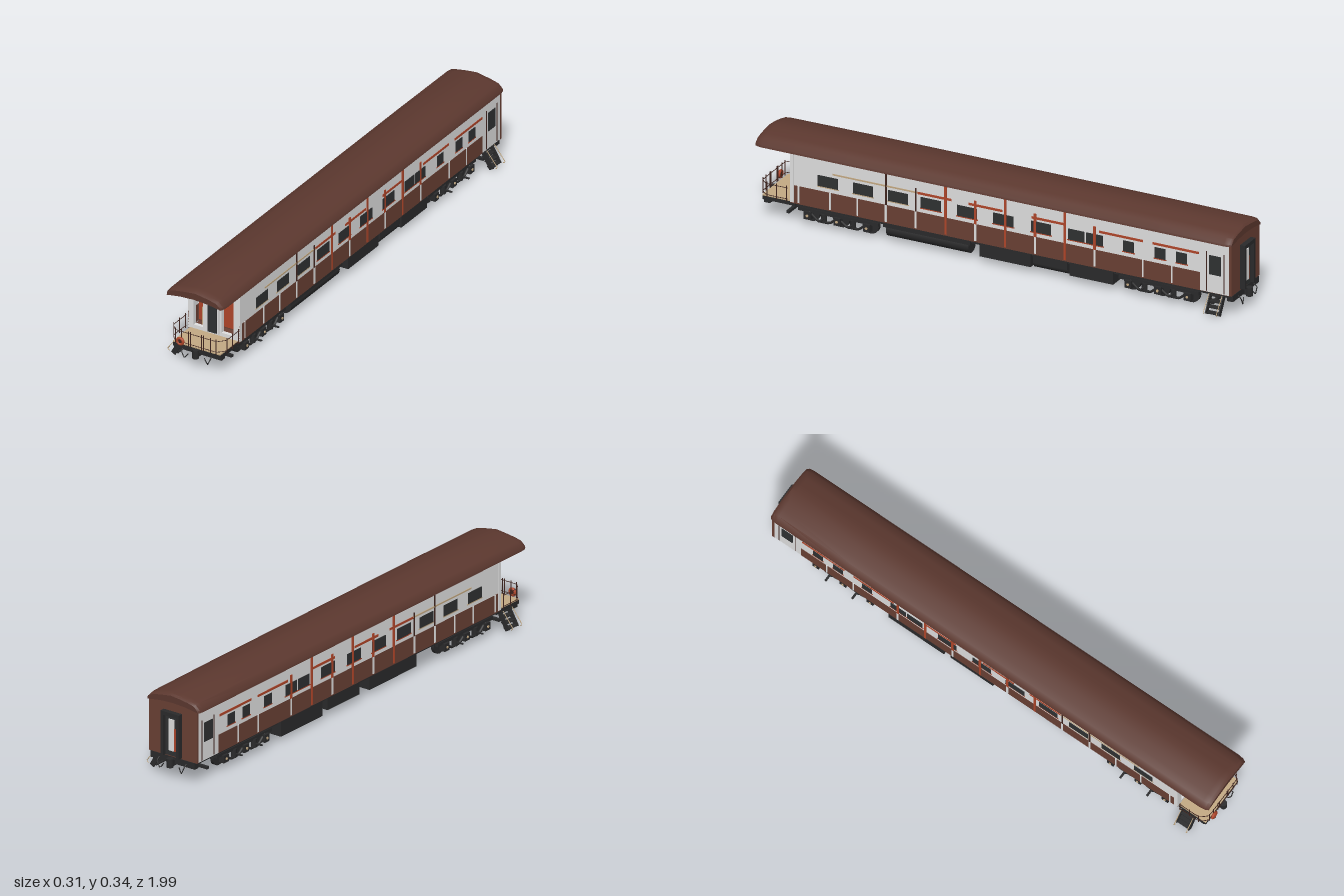
import * as THREE from 'three';
import { toCreasedNormals } from 'three/addons/utils/BufferGeometryUtils.js';

const mat = (name, color, side = THREE.FrontSide) => {
  const m = new THREE.MeshStandardMaterial({ color, side });
  m.name = name;
  return m;
};

export function createModel() {
  const root = new THREE.Group();
  root.name = 'railCarriage';
  const roofBrown = mat('roofBrown', 0x5c382f, THREE.DoubleSide);
  const sideBrown = mat('sideBrown', 0x6a4034);
  const white = mat('paleGrey', 0xe0e0e0, THREE.DoubleSide);
  const black = mat('ironBlack', 0x2a2a2b);
  const glass = mat('darkGlass', 0x2f3132);
  const red = mat('rustRed', 0xb0462a);
  const railBrown = mat('railBrown', 0x40251f);
  const tan = mat('tan', 0xc4aa84);

  const add = (name, geo, m, x = 0, y = 0, z = 0, parent = root) => {
    const mesh = new THREE.Mesh(geo, m);
    mesh.name = name;
    mesh.position.set(x, y, z);
    parent.add(mesh);
    return mesh;
  };
  // Box given by its lower and upper limits
  const box = (name, m, x0, x1, y0, y1, z0, z1, parent = root) =>
    add(name, new THREE.BoxGeometry(x1 - x0, y1 - y0, z1 - z0), m,
      (x0 + x1) / 2, (y0 + y1) / 2, (z0 + z1) / 2, parent);
  const tube = (name, m, r, pts, parent = root) =>
    add(name, new THREE.TubeGeometry(new THREE.CatmullRomCurve3(
      pts.map(p => new THREE.Vector3(...p)), false, 'catmullrom', 0.1), pts.length * 4, r, 6), m, 0, 0, 0, parent);
  const barrel = (name, m, r, len, axis, x, y, z, parent = root) => {
    const c = add(name, new THREE.CylinderGeometry(r, r, len, 20), m, x, y, z, parent);
    if (axis === 'x') c.rotation.z = Math.PI / 2;
    if (axis === 'z') c.rotation.x = Math.PI / 2;
    return c;
  };

  // Roof: arched sections lofted along the car, rounded at both ends
  const section = [[-1, 0], [-0.985, 0.2], [-0.84, 0.6], [-0.6, 0.76], [-0.3, 0.89], [0.06, 1], [0.3, 0.9],
    [0.6, 0.75], [0.84, 0.57], [0.985, 0.18], [1, 0], [0.9, 0.06], [0.5, 0.24], [0, 0.32], [-0.5, 0.24], [-0.9, 0.06]];
  const stations = [[-0.968, 0.93, 0.74], [-0.96, 0.98, 0.88], [-0.94, 1, 0.93], [-0.62, 1, 1],
    [0.62, 1, 1], [0.965, 1, 0.93], [0.985, 0.98, 0.88], [0.997, 0.93, 0.74]];
  const pos = [], idx = [], n = section.length;
  stations.forEach(([z, w, h]) => section.forEach(([x, y]) => pos.push(x * w * 0.124 + 0.002, 0.287 + y * h * 0.053, z)));
  for (let s = 0; s < stations.length - 1; s++) for (let i = 0; i < n; i++) {
    const a = s * n + i, b = s * n + (i + 1) % n;
    idx.push(a, a + n, b, b, a + n, b + n);
  }
  const outline = section.map(p => new THREE.Vector2(...p));
  THREE.ShapeUtils.triangulateShape(outline, []).forEach(([a, b, c]) => {
    const o = (stations.length - 1) * n;
    idx.push(a, b, c, o + a, o + c, o + b);
  });
  const roofGeo = new THREE.BufferGeometry();
  roofGeo.setAttribute('position', new THREE.Float32BufferAttribute(pos, 3));
  roofGeo.setIndex(idx);
  add('roof', toCreasedNormals(roofGeo, 0.6), roofBrown);

  // Body: pale upper part over brown lower panels, pale vestibule at the back
  box('upperBody', white, -0.108, 0.112, 0.155, 0.297, -0.955, 0.79);
  box('lowerBody', sideBrown, -0.109, 0.113, 0.085, 0.157, -0.835, 0.79);
  box('vestibuleLower', white, -0.108, 0.112, 0.085, 0.157, -0.955, -0.835);
  box('frontInnerWall', red, -0.1, 0.104, 0.095, 0.29, 0.79, 0.795);

  // Front end wall with two side openings and a central door
  const wall = new THREE.Shape([[-0.11, 0.088], [0.114, 0.088], [0.114, 0.292], [0.06, 0.302], [0.002, 0.306],
    [-0.056, 0.302], [-0.11, 0.292]].map(p => new THREE.Vector2(...p)));
  const hole = (x0, x1, y0, y1) => wall.holes.push(new THREE.Path(
    [[x0, y0], [x0, y1], [x1, y1], [x1, y0]].map(p => new THREE.Vector2(...p))));
  hole(-0.085, -0.045, 0.105, 0.243);
  hole(0.035, 0.086, 0.105, 0.243);
  add('frontEndWall', new THREE.ExtrudeGeometry(wall, { depth: 0.015, bevelEnabled: false }), white, 0, 0, 0.84);
  box('frontDoorFrame', white, -0.026, 0.025, 0.095, 0.245, 0.855, 0.861);
  box('frontDoor', glass, -0.019, 0.018, 0.1, 0.228, 0.858, 0.865);
  box('frontInnerWindow', glass, 0.066, 0.084, 0.195, 0.233, 0.795, 0.8);
  box('frontInnerLintel', white, -0.085, -0.045, 0.235, 0.245, 0.795, 0.8);
  box('frontChairBack', tan, -0.064, -0.056, 0.1, 0.172, 0.82, 0.83);

  // Back end wall with a framed gangway door
  box('backEndWall', sideBrown, -0.109, 0.113, 0.085, 0.3, -0.965, -0.955);
  for (const s of [-1, 1]) box('gangwayPost', black, 0.002 + s * 0.036 - 0.006, 0.002 + s * 0.036 + 0.006, 0.09, 0.265, -0.985, -0.965);
  box('gangwayHead', black, -0.04, 0.044, 0.25, 0.265, -0.985, -0.965);
  box('backDoor', glass, -0.028, 0.032, 0.09, 0.25, -0.97, -0.965);
  box('backDoorPanel', white, -0.01, 0.016, 0.11, 0.235, -0.973, -0.97);
  box('backDoorRedPanel', red, -0.016, -0.01, 0.11, 0.2, -0.973, -0.97);

  // Side details, the same on both sides
  const windows = [0.7, 0.555, 0.41, 0.275, 0.125, -0.024, -0.18, -0.325, -0.4, -0.54, -0.67, -0.76];
  for (const s of [-1, 1]) {
    const side = new THREE.Group();
    side.name = s > 0 ? 'leftSide' : 'rightSide';
    root.add(side);
    const plate = (name, m, z0, z1, y0, y1, out) => {
      const a = 0.002 + s * 0.108, b = 0.002 + s * (0.11 + out);
      box(name, m, Math.min(a, b), Math.max(a, b), y0, y1, z0, z1, side);
    };
    plate('porchSideUpper', white, 0.79, 0.855, 0.155, 0.294, 0);
    plate('porchSideLower', sideBrown, 0.79, 0.855, 0.085, 0.157, 0.001);
    windows.forEach((z, i) => {
      const w = i < 7 ? 0.041 : i < 9 ? 0.034 : 0.022;
      plate('windowSill', i > 2 ? red : tan, z - w - 0.004, z + w + 0.004, 0.172, 0.176, 0.002);
      plate('window', glass, z - w, z + w, 0.176, 0.219, 0.002);
    });
    // Belt rail above the windows, in short lengths
    for (const [z0, z1] of [[0.19, 0.33], [-0.02, 0.12], [-0.28, -0.14], [-0.6, -0.42], [-0.83, -0.64]])
      plate('redBeltRail', red, z0, z1, 0.228, 0.237, 0.002);
    plate('tanBeltRail', tan, 0.33, 0.68, 0.23, 0.236, 0.002);
    for (let i = 0; i < 8; i++) {
      const z = 0.46 - i * 0.123, w = i > 1 ? 0.005 : 0.003;
      plate('ribUpper', i > 1 ? red : railBrown, z - w, z + w, 0.157, i % 2 ? 0.25 : 0.287, 0.003);
      plate('ribLower', i > 1 && i % 2 === 0 ? red : white, z - 0.004, z + 0.004, 0.09, 0.157, 0.003);
    }
    for (const z of [0.82, 0.69, 0.578, -0.6, -0.72]) plate('ribLower', white, z - 0.003, z + 0.003, 0.09, 0.158, 0.003);
    // Vestibule door near the back
    for (const z of [-0.935, -0.862]) plate('vestibulePost', railBrown, z - 0.0015, z + 0.0015, 0.088, 0.247, 0.001);
    plate('vestibuleDoorWindow', glass, -0.922, -0.873, 0.158, 0.234, 0.003);
  }

  // Underframe and hanging equipment: x0, x1, y0, y1, z0, z1
  box('floorPan', sideBrown, -0.1, 0.104, 0.08, 0.088, -0.955, 0.855);
  for (const x of [-0.075, 0.079]) box('longBeam', black, x - 0.012, x + 0.012, 0.066, 0.081, -0.95, 0.85);
  box('centreBeam', black, -0.024, 0.028, 0.045, 0.081, -0.85, 0.86);
  box('middlePan', black, -0.095, 0.099, 0.074, 0.082, -0.48, 0.48);
  [[-0.1, -0.04, 0.018, 0.09, -0.45, -0.2], [-0.1, -0.05, 0.03, 0.09, -0.17, 0.02],
    [-0.085, -0.022, 0.016, 0.09, 0.1, 0.38], [0.05, 0.1, 0.06, 0.09, 0.12, 0.48],
    [0.04, 0.1, 0.025, 0.09, -0.13, 0.08], [0.05, 0.1, 0.045, 0.09, -0.28, -0.14],
    [0.035, 0.1, 0.025, 0.09, -0.47, -0.29]].forEach(b => box('equipmentBox', black, ...b));
  barrel('airTank', black, 0.03, 0.34, 'z', 0.065, 0.046, 0.3);
  barrel('smallTank', black, 0.022, 0.14, 'z', 0.075, 0.044, -0.21);
  box('brakeGear', red, -0.02, 0.02, 0.035, 0.045, -0.45, -0.36);

  // Two six-wheel bogies
  for (const zc of [0.668, -0.655]) {
    const bogie = new THREE.Group();
    bogie.name = 'bogie';
    bogie.position.set(0.002, 0, zc);
    root.add(bogie);
    box('bolster', black, -0.09, 0.09, 0.05, 0.073, -0.025, 0.025, bogie);
    for (const z of [-0.06, 0.06]) {
      box('crossBeam', black, -0.085, 0.085, 0.05, 0.062, z - 0.012, z + 0.012, bogie);
      box('brakeRod', red, -0.04, 0.04, 0.045, 0.05, z - 0.005, z + 0.005, bogie);
    }
    for (const z of [-0.122, 0, 0.122]) {
      barrel('axle', black, 0.006, 0.17, 'x', 0, 0.041, z, bogie);
      for (const s of [-1, 1]) {
        barrel('wheel', black, 0.034, 0.014, 'x', s * 0.06, 0.041, z, bogie);
        box('axleBox', black, s * 0.09 - 0.012, s * 0.09 + 0.012, 0.026, 0.056, z - 0.014, z + 0.014, bogie);
        barrel('axleCap', tan, 0.005, 0.004, 'x', s * 0.103, 0.041, z, bogie);
      }
    }
    for (const s of [-1, 1]) {
      box('sideFrame', black, s * 0.085 - 0.007, s * 0.085 + 0.007, 0.052, 0.066, -0.165, 0.165, bogie);
      tube('equaliserBar', black, 0.005, [[s * 0.09, 0.055, -0.12], [s * 0.09, 0.025, -0.085], [s * 0.09, 0.025, -0.035],
        [s * 0.09, 0.05, 0], [s * 0.09, 0.025, 0.035], [s * 0.09, 0.025, 0.085], [s * 0.09, 0.055, 0.12]], bogie);
      for (const z of [-0.06, 0.06]) {
        barrel('spring', black, 0.011, 0.034, 'y', s * 0.088, 0.04, z, bogie);
        box('springBracket', black, s * 0.11 - 0.017, s * 0.11 + 0.017, 0.037, 0.041, z - 0.004, z + 0.004, bogie);
      }
    }
  }

  // Open front platform with railing
  box('platformDeck', tan, -0.1, 0.104, 0.085, 0.09, 0.84, 0.975);
  box('platformFrame', black, -0.1, 0.104, 0.07, 0.085, 0.84, 0.975);
  for (const y of [0.098, 0.142]) tube('railing', railBrown, 0.0014,
    [[-0.112, y, 0.865], [-0.112, y, 0.95], [-0.085, y, 0.98], [0.089, y, 0.98], [0.116, y, 0.95], [0.116, y, 0.865]]);
  for (const x of [-0.085, -0.06, -0.03, -0.022, 0.026, 0.034, 0.064, 0.089])
    barrel('railPost', railBrown, 0.0018, 0.062, 'y', x, 0.119, 0.98);
  for (const x of [-0.112, 0.116]) for (const z of [0.868, 0.91, 0.95])
    barrel('railPost', railBrown, 0.0018, 0.062, 'y', x, 0.119, z);
  add('roundMarker', new THREE.TorusGeometry(0.012, 0.0055, 8, 24), red, -0.062, 0.103, 0.986);
  barrel('markerCentre', railBrown, 0.008, 0.004, 'z', -0.062, 0.103, 0.986);

  // Couplers, buffer beams and hoses at both ends
  for (const [s, z] of [[1, 0.955], [-1, -0.955]]) {
    box('bufferBeam', black, -0.1, 0.104, 0.06, 0.085, z - 0.012, z + 0.012);
    box('lowerBeam', black, -0.09, 0.094, 0.03, 0.04, z - s * 0.08 - 0.006, z - s * 0.08 + 0.006);
    box('couplerShank', black, -0.009, 0.013, 0.055, 0.078, z - 0.025, z + 0.025);
    barrel('couplerHead', black, 0.013, 0.034, 'y', 0.002, 0.067, z + s * 0.027);
    for (const x of [-0.06, 0.064]) tube('hose', black, 0.002,
      [[x, 0.08, z], [x, 0.06, z + s * 0.025], [x * 0.8, 0.035, z + s * 0.025], [x * 0.55, 0.055, z + s * 0.02]]);
  }

  // Boarding steps at two opposite corners
  for (const [s, z] of [[-1, 0.897], [1, -0.897]]) {
    const steps = new THREE.Group();
    steps.name = 'boardingSteps';
    root.add(steps);
    for (let i = 0; i < 4; i++) {
      const x = s * (0.122 - i * 0.011), y = 0.008 + i * 0.019;
      box('tread', black, x - 0.012, x + 0.012, y, y + 0.004, z - 0.026, z + 0.026, steps);
    }
    for (const d of [-0.027, 0.027]) {
      const stringer = box('stringer', black, -0.01, 0.01, -0.044, 0.044, -0.002, 0.002, steps);
      stringer.position.set(s * 0.108, 0.043, z + d);
      stringer.rotation.z = s * 0.52;
      tube('handrail', tan, 0.0015, [[s * 0.108, 0.078, z + d], [s * 0.155, 0.018, z + d], [s * 0.145, 0.012, z + d]], steps);
    }
  }
  return root;
}
